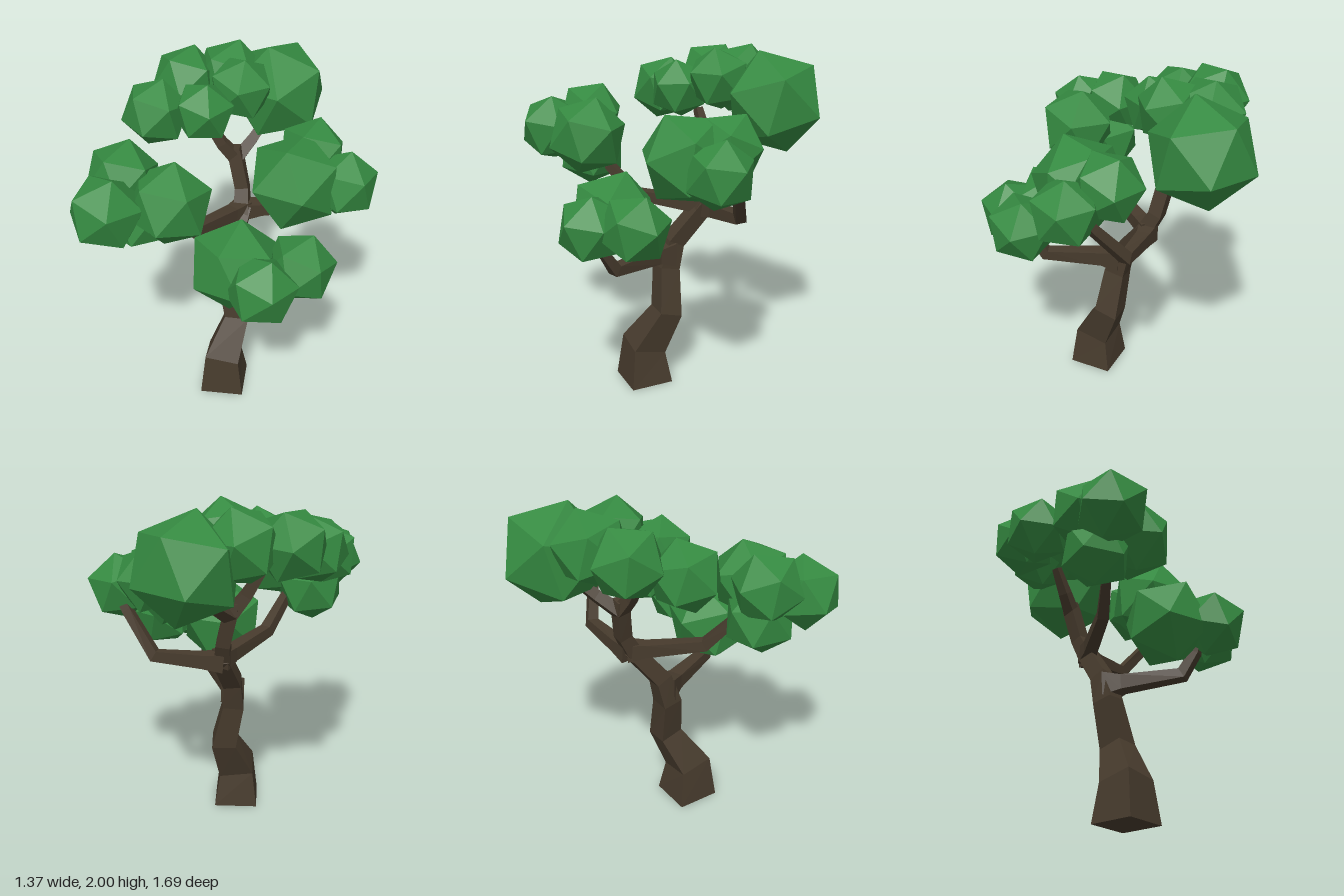
import * as THREE from 'three';

const bark = new THREE.MeshStandardMaterial({ color: 0x473b2d, flatShading: true });
const leaf = new THREE.MeshStandardMaterial({ color: 0x358a41, flatShading: true });

// Four-sided tapering limb through points [x, y, z, radius]; ref is the direction of its first corner.
function limb(name, points, ref, levelStart = false) {
  const centres = points.map(p => new THREE.Vector3(p[0], p[1], p[2]));
  const last = centres.length - 1;
  let u = new THREE.Vector3(...ref);
  const positions = [];
  const index = [];

  centres.forEach((c, i) => {
    const t = new THREE.Vector3();
    if (i > 0) t.add(c.clone().sub(centres[i - 1]).normalize());
    if (i < last) t.add(centres[i + 1].clone().sub(c).normalize());
    if (i === 0 && levelStart) t.set(0, 1, 0);
    t.normalize();
    u = u.clone().addScaledVector(t, -u.dot(t)).normalize();
    const v = t.clone().cross(u);
    for (let k = 0; k < 4; k++) {
      const a = k * Math.PI / 2;
      const p = c.clone()
        .addScaledVector(u, points[i][3] * Math.cos(a))
        .addScaledVector(v, points[i][3] * Math.sin(a));
      positions.push(p.x, p.y, p.z);
    }
  });

  for (let i = 0; i < last; i++) {
    for (let k = 0; k < 4; k++) {
      const a = i * 4 + k;
      const b = i * 4 + (k + 1) % 4;
      index.push(a, b, b + 4, a, b + 4, a + 4);
    }
  }
  const e = last * 4;
  index.push(0, 2, 1, 0, 3, 2, e, e + 1, e + 2, e, e + 2, e + 3);

  const indexed = new THREE.BufferGeometry();
  indexed.setAttribute('position', new THREE.Float32BufferAttribute(positions, 3));
  indexed.setIndex(index);
  const geometry = indexed.toNonIndexed();
  geometry.computeVertexNormals();
  const mesh = new THREE.Mesh(geometry, bark);
  mesh.name = name;
  return mesh;
}

// Group of faceted leaf balls, each [x, y, z, radius, tilt, yaw, roll].
function foliage(name, balls) {
  const group = new THREE.Group();
  group.name = name;
  balls.forEach(([x, y, z, r, tilt, yaw, roll]) => {
    const ball = new THREE.Mesh(new THREE.IcosahedronGeometry(r, 0), leaf);
    ball.name = 'leafBall';
    ball.position.set(x, y, z);
    ball.rotation.set(tilt, yaw, roll);
    group.add(ball);
  });
  return group;
}

export function createModel() {
  const tree = new THREE.Group();
  tree.name = 'tree';
  const side = [-0.44, 0, 0.9];

  // Crooked trunk leaning to the back
  tree.add(limb('trunk', [
    [-0.03, 0, 0.165, 0.182],
    [-0.03, 0.23, 0.165, 0.143],
    [0.0, 0.46, 0.03, 0.1],
    [-0.06, 0.72, 0.025, 0.085],
    [-0.07, 0.88, -0.02, 0.072],
    [-0.07, 1.1, -0.2, 0.065],
  ], side, true));

  // Flat-topped branches with upturned ends
  tree.add(limb('frontLeftBranch', [
    [-0.06, 0.81, 0.01, 0.1], [0.0, 0.815, 0.09, 0.062],
    [0.23, 0.83, 0.34, 0.046], [0.28, 0.95, 0.4, 0.036], [0.3, 1.08, 0.42, 0.03],
  ], [0.76, 1, -0.65]));
  tree.add(limb('frontRightBranch', [
    [-0.07, 1.09, -0.21, 0.075], [-0.1, 1.1, -0.11, 0.055],
    [-0.2, 1.14, 0.2, 0.045], [-0.26, 1.3, 0.34, 0.036], [-0.32, 1.42, 0.43, 0.03],
  ], [0.96, 1, 0.27]));
  tree.add(limb('backLeftBranch', [
    [-0.08, 1.08, -0.2, 0.075], [0.02, 1.09, -0.25, 0.055],
    [0.26, 1.12, -0.35, 0.045], [0.44, 1.34, -0.3, 0.036], [0.5, 1.42, -0.28, 0.03],
  ], [0.4, 1, 0.92]));
  tree.add(limb('topBranch', [
    [-0.07, 1.06, -0.17, 0.065], [-0.1, 1.2, -0.24, 0.055],
    [-0.15, 1.39, -0.26, 0.055], [-0.16, 1.45, -0.26, 0.045],
  ], side));
  tree.add(limb('topBackTwig', [
    [-0.15, 1.37, -0.26, 0.05], [-0.1, 1.46, -0.38, 0.042], [-0.05, 1.58, -0.52, 0.03],
  ], side));
  tree.add(limb('topRightTwig', [
    [-0.15, 1.38, -0.26, 0.05], [-0.22, 1.48, -0.22, 0.042], [-0.3, 1.62, -0.19, 0.03],
  ], side));

  // Leaf clusters
  tree.add(foliage('topFoliage', [
    [-0.04, 1.7, -0.58, 0.297, -0.26, 1.41, 0],
    [-0.27, 1.8, -0.43, 0.21, 0.15, 1.2, 0.1],
    [-0.48, 1.79, -0.29, 0.2, -0.1, 1.35, 0.2],
    [-0.52, 1.71, -0.01, 0.195, 0.2, 1.15, 0.1],
    [-0.25, 1.75, -0.07, 0.175, 0.4, 0.9, 0.2],
    [-0.13, 1.82, -0.28, 0.185, 0.3, 0.6, 0.3],
  ]));
  tree.add(foliage('backLeftFoliage', [
    [0.3, 1.47, -0.05, 0.267, -0.2, 1.57, 0.1],
    [0.31, 1.53, -0.27, 0.2, 0.1, 1.5, 0],
    [0.53, 1.44, -0.19, 0.195, 0.2, 1.2, 0.2],
  ]));
  tree.add(foliage('frontLeftFoliage', [
    [0.14, 1.12, 0.34, 0.262, 0.1, 1.57, 0.15],
    [0.47, 1.15, 0.24, 0.2, 0.2, 1.1, 0],
    [0.35, 1.12, 0.46, 0.2, 0.35, 0.9, 0.1],
  ]));
  tree.add(foliage('frontRightFoliage', [
    [-0.46, 1.57, 0.44, 0.2, 0.1, 1.45, 0.05],
    [-0.17, 1.5, 0.465, 0.23, -0.1, 1.2, 0.4],
    [-0.42, 1.5, 0.665, 0.205, 0.3, 0.8, 0.15],
    [-0.38, 1.36, 0.44, 0.205, 0.25, 1.3, 0.2],
  ]));
  return tree;
}
